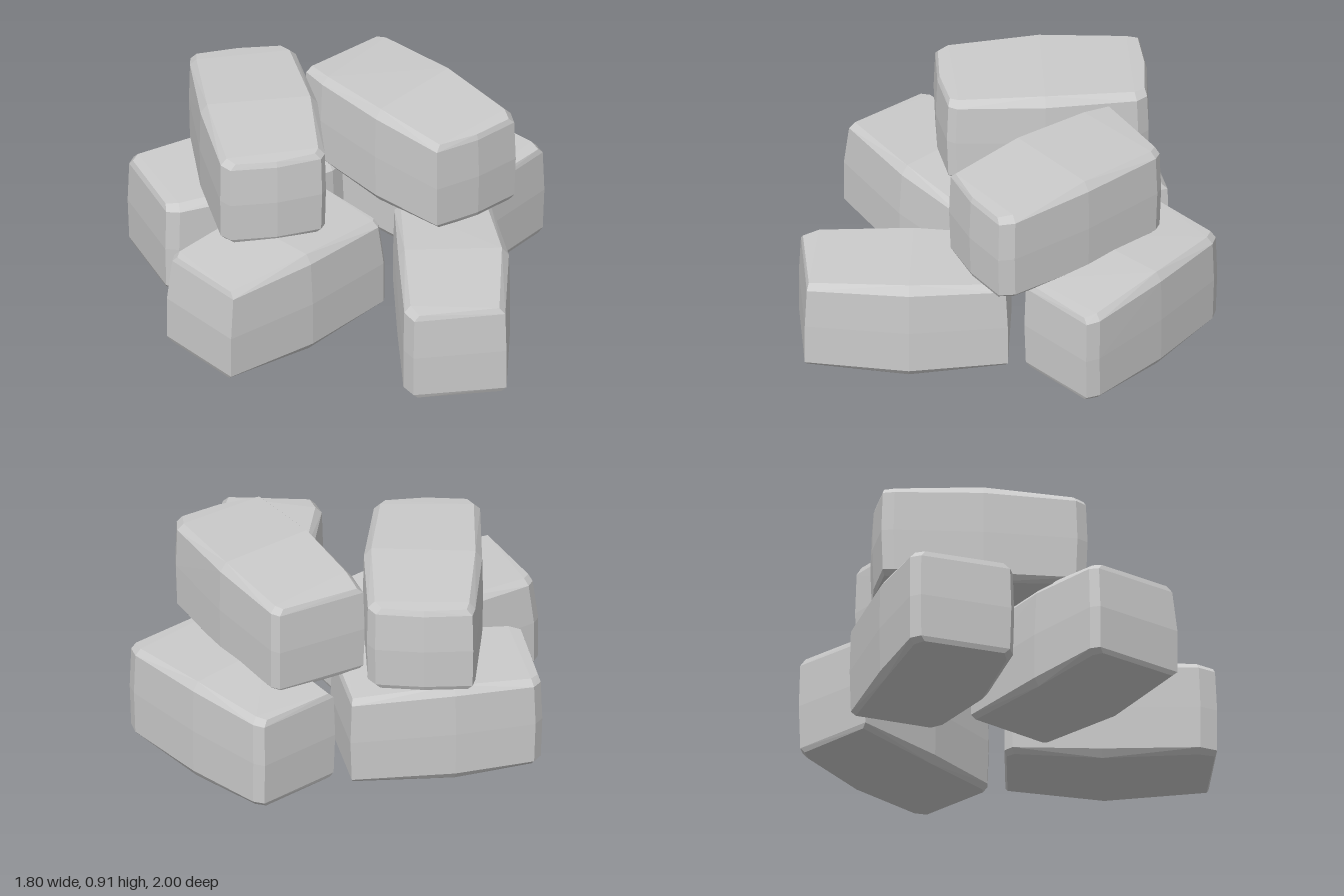
import * as THREE from 'three';
import { ConvexGeometry } from 'three/addons/geometries/ConvexGeometry.js';

const material = new THREE.MeshStandardMaterial({ color: 0xcccccc, flatShading: true });

// One worn block: a footprint of [x, z] points, chamfered above and below,
// with top and bottom bulging slightly towards the middle of its length.
function block({ name, y0, y1, axis, outline, topScale = 0.985, bottomScale = 0.985 }) {
  const xs = outline.map(p => p[0]), zs = outline.map(p => p[1]);
  const cx = (Math.min(...xs) + Math.max(...xs)) / 2;
  const cz = (Math.min(...zs) + Math.max(...zs)) / 2;
  const length = Math.hypot(axis[0], axis[1]);
  const ax = axis[0] / length, az = axis[1] / length;
  const along = (x, z) => (x - cx) * ax + (z - cz) * az;
  const across = (x, z) => (z - cz) * ax - (x - cx) * az;
  const half = Math.max(...outline.map(([x, z]) => Math.abs(along(x, z))));

  // height, length scale, width scale, bulge of each level
  const levels = [
    [y0, bottomScale * 0.98, bottomScale * 0.9, -0.025],
    [y0 + 0.035, bottomScale, bottomScale, -0.01],
    [(y0 + y1) / 2, 1, 1, 0],
    [y1 - 0.04, topScale, topScale, 0.01],
    [y1, topScale * 0.98, topScale * 0.88, 0.025],
  ];
  const points = [];
  for (const [y, sl, sw, bulge] of levels) {
    for (const [x, z] of outline) {
      const u = along(x, z), v = across(x, z);
      const t = u / half;
      points.push(new THREE.Vector3(
        cx + ax * u * sl - az * v * sw,
        y - bulge * t * t,
        cz + az * u * sl + ax * v * sw));
    }
  }
  const mesh = new THREE.Mesh(new ConvexGeometry(points), material);
  mesh.name = name;
  return mesh;
}

const blocks = [
  // bottom layer
  {
    name: 'lowerLeftBlock', y0: 0.01, y1: 0.49, axis: [1, 0.08], topScale: 0.95, bottomScale: 1,
    outline: [[-0.9, 0.09], [-0.86, -0.33], [-0.82, -0.355], [-0.45, -0.335], [0.03, -0.26],
      [0.0, 0.15], [-0.02, 0.165], [-0.46, 0.16]],
  },
  {
    name: 'lowerFrontBlock', y0: 0, y1: 0.47, axis: [0.6, -0.65], topScale: 0.98, bottomScale: 1,
    outline: [[-0.45, 0.75], [-0.43, 0.67], [-0.14, 0.36], [0.13, 0.08], [0.18, 0.08],
      [0.46, 0.35], [0.21, 0.7], [-0.13, 1.0]],
  },
  {
    name: 'lowerRightBlock', y0: 0, y1: 0.485, axis: [0.12, 0.85],
    outline: [[0.38, -0.56], [0.77, -0.585], [0.8, -0.54], [0.865, -0.18], [0.9, 0.21],
      [0.88, 0.27], [0.5, 0.29], [0.47, 0.26], [0.4, -0.12]],
  },
  {
    name: 'lowerBackBlock', y0: 0.01, y1: 0.485, axis: [0.77, 0.33],
    outline: [[-0.585, -0.6], [-0.42, -0.98], [-0.37, -1.0], [-0.04, -0.87], [0.37, -0.66],
      [0.22, -0.3], [0.15, -0.29], [-0.2, -0.37], [-0.55, -0.55]],
  },
  // top layer
  {
    name: 'upperRightBlock', y0: 0.435, y1: 0.905, axis: [-0.08, 0.9],
    outline: [[0.17, -0.485], [0.58, -0.43], [0.6, -0.39], [0.595, 0.0], [0.55, 0.39],
      [0.51, 0.45], [0.3, 0.43], [0.1, 0.37], [0.1, 0.0], [0.14, -0.36]],
  },
  {
    name: 'upperBackBlock', y0: 0.455, y1: 0.91, axis: [0.52, -0.7],
    outline: [[-0.1, -0.915], [0.08, -0.8], [0.24, -0.66], [0.24, -0.6], [0.02, -0.26],
      [-0.24, 0.03], [-0.28, 0.045], [-0.46, -0.05], [-0.62, -0.18], [-0.62, -0.24],
      [-0.39, -0.58], [-0.14, -0.88]],
  },
];

export function createModel() {
  const pile = new THREE.Group();
  pile.name = 'blockPile';
  for (const spec of blocks) pile.add(block(spec));
  return pile;
}
